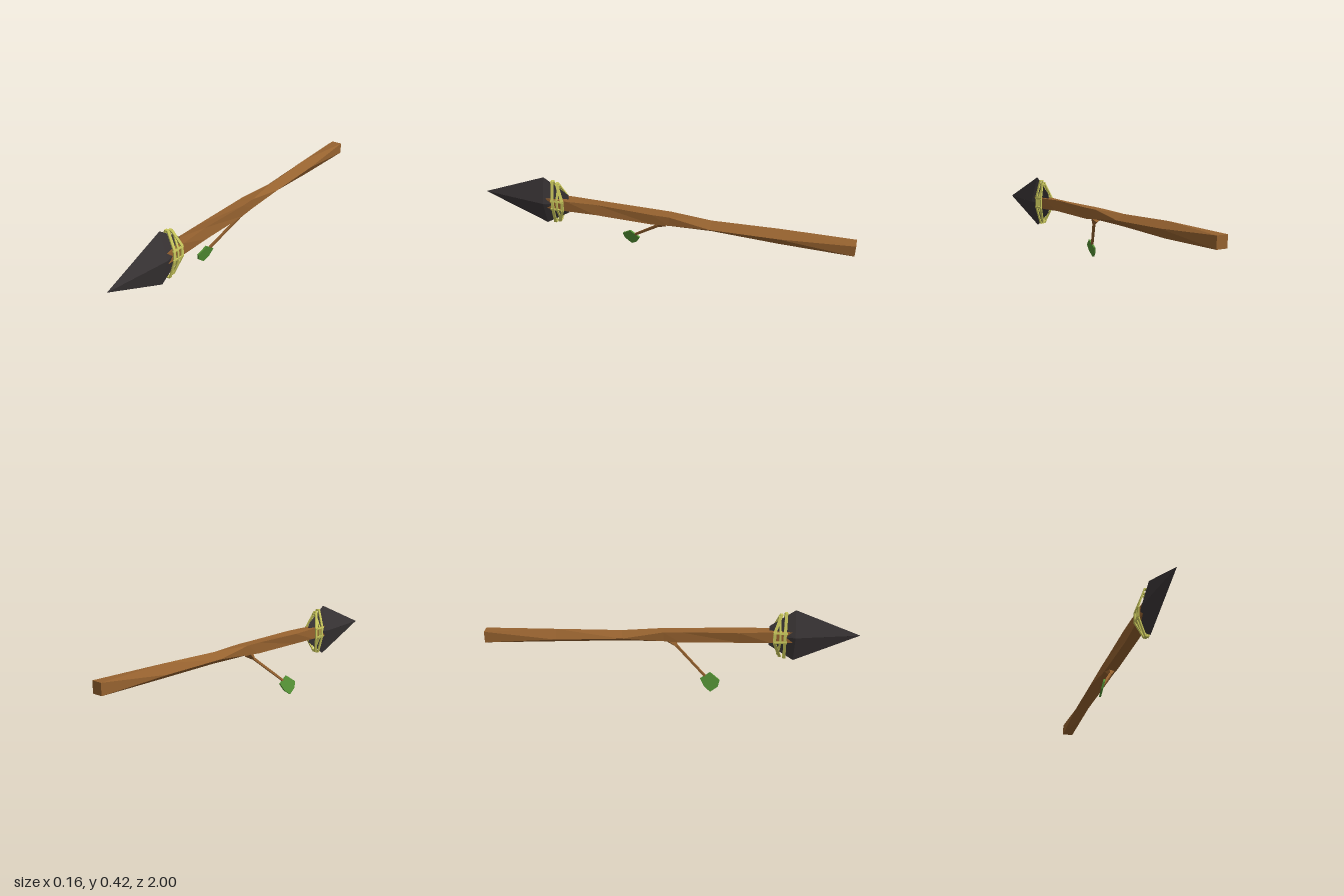
import * as THREE from 'three';

const CX = 0.037, CY = 0.28; // axis of the spear

// Flat-faced solid through four-cornered rings, listed from back to front
function loft(rings) {
  const pos = [];
  const tri = (...pts) => pts.forEach((p) => pos.push(...p));
  for (let i = 0; i < rings.length - 1; i++) {
    for (let j = 0; j < 4; j++) {
      const k = (j + 1) % 4;
      const [a, b, c, d] = [rings[i][j], rings[i][k], rings[i + 1][k], rings[i + 1][j]];
      tri(a, b, c);
      tri(a, c, d);
    }
  }
  const [b0, b1, b2, b3] = rings[0];
  tri(b0, b2, b1);
  tri(b0, b3, b2);
  const [f0, f1, f2, f3] = rings[rings.length - 1];
  tri(f0, f1, f2);
  tri(f0, f2, f3);
  const g = new THREE.BufferGeometry();
  g.setAttribute('position', new THREE.Float32BufferAttribute(pos, 3));
  g.computeVertexNormals();
  return g;
}

// Ring with half sizes rx, ry (to its corners), turned by deg
function ring(z, rx, ry, deg, dy = 0) {
  return [0, 1, 2, 3].map((i) => {
    const a = THREE.MathUtils.degToRad(deg) + (i * Math.PI) / 2;
    return [CX + rx * Math.cos(a), CY + dy + ry * Math.sin(a), z];
  });
}

export function createModel() {
  const wood = new THREE.MeshStandardMaterial({ color: 0x96622f });
  const stone = new THREE.MeshStandardMaterial({ color: 0x393435 });
  const cord = new THREE.MeshStandardMaterial({ color: 0xc9c75c });
  const green = new THREE.MeshStandardMaterial({ color: 0x559335 });
  wood.name = 'wood';
  stone.name = 'stone';
  cord.name = 'cord';
  green.name = 'leaf green';

  const model = new THREE.Group();
  model.name = 'spear';
  const add = (name, geometry, material, parent = model) => {
    const mesh = new THREE.Mesh(geometry, material);
    mesh.name = name;
    parent.add(mesh);
    return mesh;
  };

  // Square shaft, twisting a quarter turn toward the back
  add('shaft', loft([
    ring(-1, 0.043, 0.043, 135),
    ring(-0.62, 0.042, 0.041, 103),
    ring(-0.27, 0.043, 0.031, 94),
    ring(-0.05, 0.042, 0.036, 47, 0.004),
    ring(0.04, 0.042, 0.042, 45),
    ring(0.35, 0.043, 0.042, 54, 0.002),
    ring(0.52, 0.043, 0.043, 45),
    ring(0.64, 0.042, 0.042, 45),
  ]), wood);

  // Four-sided stone head
  add('spearhead', loft([
    ring(0.515, 0.01, 0.055, 0),
    ring(0.65, 0.041, 0.144, 0),
    ring(1, 0.0005, 0.0005, 0),
  ]), stone);

  // Cord loops around the head: each loop has its own z at tips and at the sides
  const binding = new THREE.Group();
  binding.name = 'binding';
  model.add(binding);
  const strap = (a, b, width) => {
    const m = add('strap', new THREE.BoxGeometry(0.006, width, a.distanceTo(b) + 0.004), cord, binding);
    m.position.copy(a).add(b).multiplyScalar(0.5);
    const along = b.clone().sub(a).normalize();
    const out = new THREE.Vector3(m.position.x - CX, (m.position.y - CY) * 0.3, 0);
    out.addScaledVector(along, -out.dot(along)).normalize();
    const side = new THREE.Vector3().crossVectors(along, out);
    m.quaternion.setFromRotationMatrix(new THREE.Matrix4().makeBasis(out, side, along));
  };
  const loop = (tip, topZ, midRightZ, midLeftZ, bottomZ, width) => {
    const pts = [
      [0.007, tip, topZ], [0.037, 0.03, midRightZ], [0.037, -0.03, midRightZ], [0.007, -tip, bottomZ],
      [-0.007, -tip, bottomZ], [-0.037, -0.03, midLeftZ], [-0.037, 0.03, midLeftZ], [-0.007, tip, topZ],
    ].map(([x, y, z]) => new THREE.Vector3(CX + x, CY + y, z));
    pts.forEach((p, i) => strap(p, pts[(i + 1) % pts.length], width));
  };
  loop(0.127, 0.6, 0.595, 0.595, 0.6, 0.016);
  loop(0.118, 0.575, 0.54, 0.54, 0.575, 0.016);
  loop(0.108, 0.565, 0.57, 0.57, 0.565, 0.011);
  // Cross ties along the sides of the shaft
  for (const x of [-0.038, 0.038]) {
    for (const y of [-0.026, 0.026]) {
      strap(new THREE.Vector3(CX + x, CY + y, 0.535), new THREE.Vector3(CX + x, CY + y, 0.605), 0.01);
    }
  }

  // Twig: a flared root and a thin stem
  const twig = new THREE.Group();
  twig.name = 'twig';
  model.add(twig);
  const rod = (name, a, b, ra, rb) => {
    const dir = b.clone().sub(a);
    const m = add(name, new THREE.CylinderGeometry(rb, ra, dir.length(), 4).toNonIndexed(), wood, twig);
    m.geometry.computeVertexNormals();
    m.position.copy(a).add(b).multiplyScalar(0.5);
    m.quaternion.setFromUnitVectors(new THREE.Vector3(0, 1, 0), dir.normalize());
  };
  const root = new THREE.Vector3(0.037, 0.258, -0.012);
  const neck = new THREE.Vector3(0.03, 0.222, 0.022);
  rod('twigRoot', root, neck, 0.028, 0.009);
  rod('twigStem', neck, new THREE.Vector3(-0.052, 0.083, 0.172), 0.009, 0.008);

  // Leaf: thin six-sided plate, drawn in z and y, then leaned outward
  const outline = [[0.25, 0.067], [0.2, 0.104], [0.147, 0.067], [0.168, 0.028], [0.2, 0.003], [0.24, 0.033]];
  const shape = new THREE.Shape(outline.map(([z, y]) => new THREE.Vector2(z, y)));
  const leaf = new THREE.ExtrudeGeometry(shape, { depth: 0.01, bevelEnabled: false });
  const p = leaf.attributes.position;
  for (let i = 0; i < p.count; i++) {
    const z = p.getX(i), y = p.getY(i), w = p.getZ(i);
    p.setXYZ(i, -0.059 + 0.25 * (y - 0.055) - 0.18 * (z - 0.2) - w, y, z);
  }
  leaf.computeVertexNormals();
  add('leaf', leaf, green, twig);

  return model;
}
